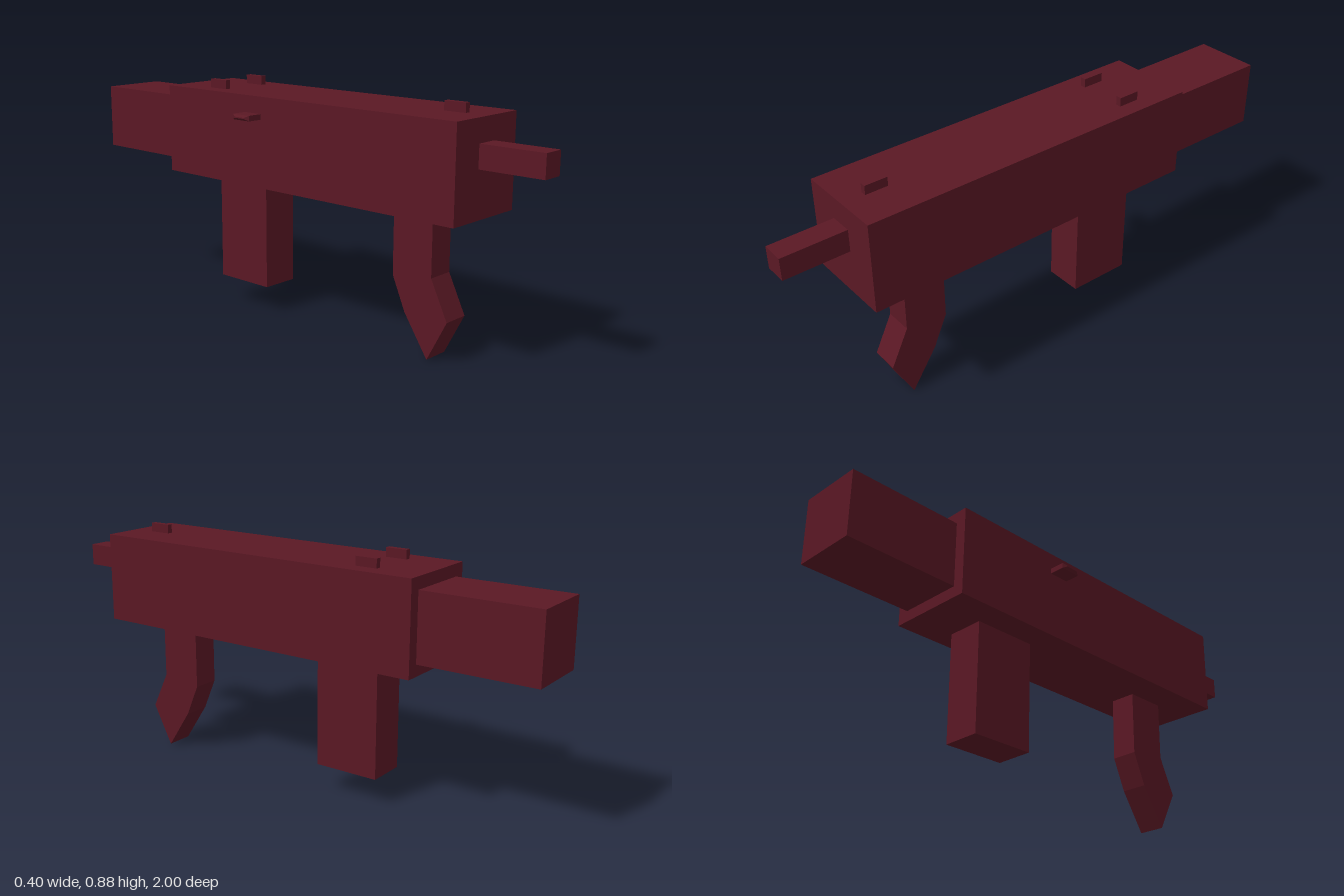
import * as THREE from 'three';

export function createModel() {
  const model = new THREE.Group();
  model.name = 'submachineGun';
  const material = new THREE.MeshStandardMaterial({ color: 0x5a1824, flatShading: true });

  function add(name, geometry) {
    const mesh = new THREE.Mesh(geometry, material);
    mesh.name = name;
    model.add(mesh);
    return mesh;
  }

  // Box given by its extents on each axis
  function block(name, [x0, x1], [y0, y1], [z0, z1], segX = 1) {
    const geometry = new THREE.BoxGeometry(x1 - x0, y1 - y0, z1 - z0, segX, 1, 1);
    const mesh = add(name, geometry);
    mesh.position.set((x0 + x1) / 2, (y0 + y1) / 2, (z0 + z1) / 2);
    return mesh;
  }

  // Main blocks
  block('receiver', [-0.133, 0.2], [0.515, 0.847], [-0.57, 0.763]);
  block('stock', [-0.09, 0.156], [0.557, 0.803], [-1, -0.57]);
  block('barrel', [-0.008, 0.075], [0.682, 0.764], [0.763, 1]);
  block('grip', [-0.028, 0.117], [0.1, 0.515], [-0.4, -0.155]);

  // Sights: one post in front, a pair at the rear
  block('frontSight', [0.034, 0.055], [0.847, 0.88], [0.596, 0.68]);
  for (const [name, x] of [['rearSightRight', -0.07], ['rearSightLeft', 0.117]]) {
    block(name, [x, x + 0.021], [0.847, 0.88], [-0.402, -0.32]);
  }

  // Bolt handle with a tapered tip
  const handle = block('boltHandle', [-0.2, -0.133], [0.765, 0.785], [-0.155, -0.075], 2);
  const p = handle.geometry.attributes.position;
  for (let i = 0; i < p.count; i++) {
    if (Math.abs(p.getX(i)) < 0.01) p.setX(i, -0.024);
    else if (p.getX(i) < 0) {
      p.setY(i, p.getY(i) * 0.2);
      p.setZ(i, p.getZ(i) * 0.6);
    }
  }
  handle.geometry.computeVertexNormals();

  // Bent magazine: side profile in (z, y), extruded across x
  const profile = [
    [0.595, 0.515], [0.595, 0.29], [0.663, 0.15], [0.585, 0],
    [0.487, 0.148], [0.434, 0.27], [0.434, 0.515],
  ].map(([z, y]) => new THREE.Vector2(z, y));
  const magazine = new THREE.ExtrudeGeometry(new THREE.Shape(profile), { depth: 0.103, bevelEnabled: false });
  magazine.rotateY(-Math.PI / 2);
  magazine.translate(0.095, 0, 0);
  add('magazine', magazine);

  return model;
}
